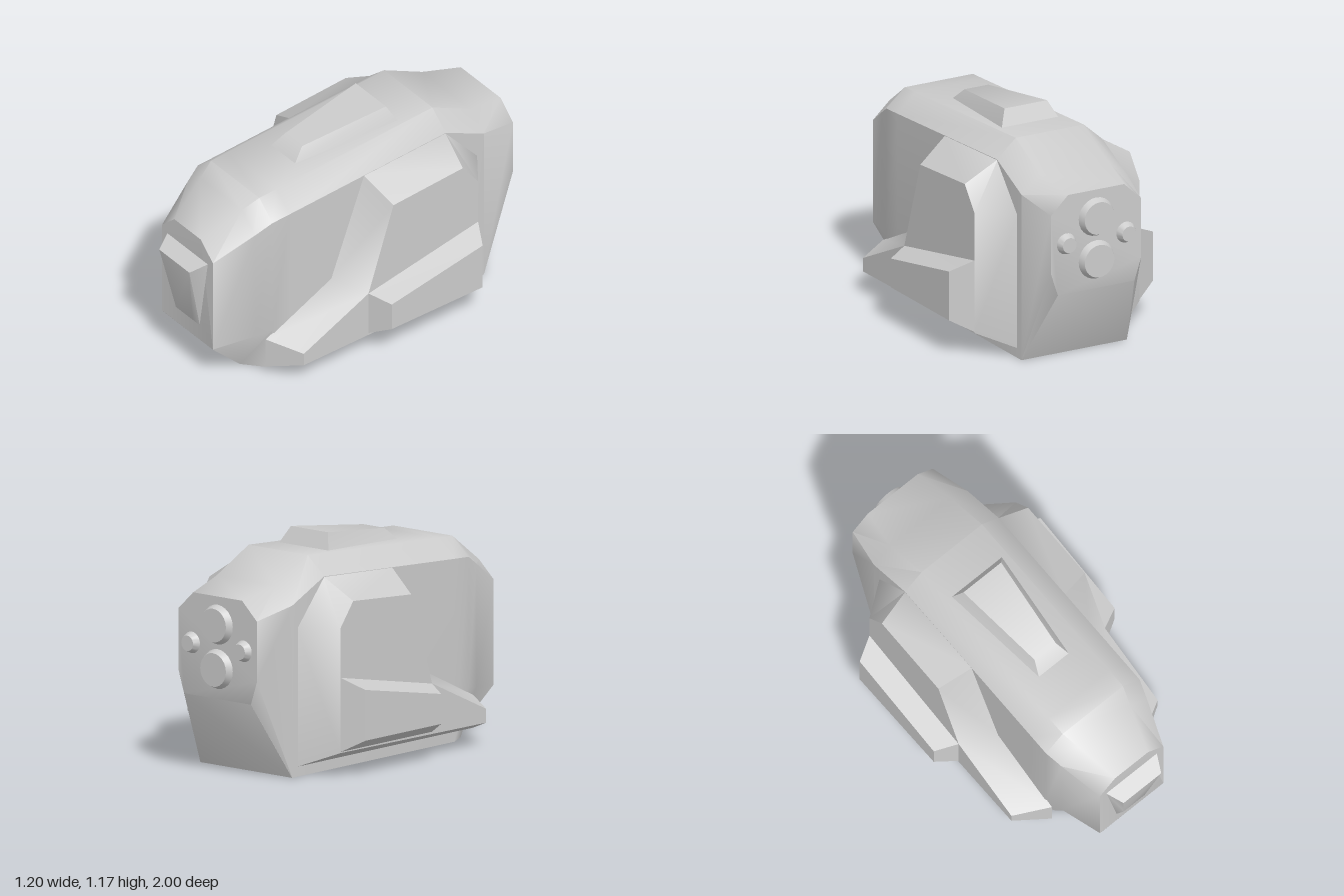
import * as THREE from 'three';
import { toCreasedNormals } from 'three/addons/utils/BufferGeometryUtils.js';

const material = new THREE.MeshStandardMaterial({ color: 0xcccccc, side: THREE.DoubleSide });

// Closed solid through rings of [x, y, z]; caps are triangulated with one axis dropped.
function loft(rings, dropAxis) {
  const n = rings[0].length;
  const pts = rings.flat();
  const faces = [];
  for (let r = 0; r < rings.length - 1; r++) {
    for (let i = 0; i < n; i++) {
      const j = (i + 1) % n;
      const a = r * n + i, b = r * n + j, c = a + n, d = b + n;
      faces.push([a, b, d], [a, d, c]);
    }
  }
  const flat = (ring) => ring.map((p) => new THREE.Vector2(...p.filter((_, k) => k !== dropAxis)));
  const area = (ring) => Math.sign(THREE.ShapeUtils.area(flat(ring)));
  const cap = (ring, offset, reverse) => {
    for (const t of THREE.ShapeUtils.triangulateShape(flat(ring), [])) {
      // keep each cap triangle in the direction of its ring
      const same = area(t.map((k) => ring[k])) === area(ring);
      const [a, b, c] = t.map((k) => k + offset);
      faces.push(same !== reverse ? [a, b, c] : [a, c, b]);
    }
  };
  cap(rings[0], 0, true);
  cap(rings[rings.length - 1], (rings.length - 1) * n, false);

  // signed volume decides which way the solid faces
  const v = pts.map((p) => new THREE.Vector3(...p));
  let volume = 0;
  for (const [a, b, c] of faces) volume += v[a].dot(v[b].clone().cross(v[c]));
  const index = faces.flatMap(([a, b, c]) => (volume < 0 ? [a, c, b] : [a, b, c]));

  const geometry = new THREE.BufferGeometry();
  geometry.setAttribute('position', new THREE.Float32BufferAttribute(pts.flat(), 3));
  geometry.setIndex(index);
  return toCreasedNormals(geometry, 0.8);
}

function add(parent, name, geometry) {
  const mesh = new THREE.Mesh(geometry, material);
  mesh.name = name;
  parent.add(mesh);
  return mesh;
}

// Side plate: base outline at x0 bevelled to outer outline at x1, points are [z, y]
function sidePlate(base, outer, x0, x1, side) {
  const ring = (outline, x) => outline.map(([z, y]) => [side * x, y, z]);
  return loft([ring(base, x0), ring(outer, x1)], 0);
}

export function createModel() {
  const model = new THREE.Group();
  model.name = 'pod';

  // Hull stations: z, bottom y, bottom half width, lower side y, half width, upper side y, top half width, top y
  const stations = [
    [0.915, 0.22, 0.21, 0.222, 0.21, 0.765, 0.11, 0.857],
    [0.70, 0, 0.155, 0.25, 0.283, 0.888, 0.173, 0.982],
    [0.61, 0, 0.255, 0.265, 0.31, 0.94, 0.2, 1.035],
    [0.50, 0, 0.31, 0.002, 0.31, 0.946, 0.2, 1.041],
    [-0.50, 0, 0.31, 0.002, 0.31, 1.005, 0.2, 1.102],
    [-0.745, 0, 0.31, 0.002, 0.31, 0.89, 0.2, 0.98],
    [-0.965, 0.40, 0.225, 0.52, 0.265, 0.835, 0.165, 0.93],
  ];
  const hullRings = stations.map(([z, by, bw, ly, w, sy, tw, ty]) => {
    const half = [[bw, by, z], [w, ly, z], [w, sy, z], [tw, ty, z]];
    return [...half, ...half.slice().reverse().map(([x, y]) => [-x, y, z])];
  });
  add(model, 'hull', loft(hullRings, 2));

  // Side fenders with a raised foot block on each
  const fenderBase = [[0.65, 0.05], [0.65, 0.22], [0.235, 0.42], [0.025, 0.975], [-0.5, 1.005], [-0.705, 0.77], [-0.705, 0.05]];
  const fenderOuter = [[0.545, 0.115], [0.545, 0.187], [0.13, 0.38], [-0.03, 0.865], [-0.475, 0.897], [-0.573, 0.77], [-0.573, 0.125]];
  const footBase = [[0.13, 0.13], [0.13, 0.38], [-0.573, 0.515], [-0.573, 0.13]];
  const footOuter = [[0.07, 0.195], [0.07, 0.35], [-0.513, 0.458], [-0.513, 0.195]];
  for (const [label, side] of [['left', 1], ['right', -1]]) {
    add(model, label + 'Fender', sidePlate(fenderBase, fenderOuter, 0.305, 0.485, side));
    add(model, label + 'FootBlock', sidePlate(footBase, footOuter, 0.484, 0.6, side));
  }

  // Tapered block on the roof
  add(model, 'roofBlock', loft([
    [[-0.1, 1.05, 0.305], [0.1, 1.05, 0.305], [0.168, 1.085, -0.305], [-0.168, 1.085, -0.305]],
    [[-0.07, 1.115, 0.235], [0.07, 1.115, 0.235], [0.125, 1.173, -0.26], [-0.125, 1.173, -0.26]],
  ], 1));

  // Wedge panel on the nose
  add(model, 'nosePanel', loft([
    [[-0.1, 0.31, 0.914], [0.1, 0.31, 0.914], [0.168, 0.735, 0.914], [-0.168, 0.735, 0.914]],
    [[-0.07, 0.335, 0.935], [0.07, 0.335, 0.935], [0.125, 0.695, 1.0], [-0.125, 0.695, 1.0]],
  ], 2));

  // Thruster nozzles at the rear
  const nozzles = [[0, 0.785, 0.105], [0, 0.555, 0.105], [0.175, 0.67, 0.058], [-0.175, 0.67, 0.058]];
  nozzles.forEach(([x, y, r], i) => {
    const geometry = new THREE.CylinderGeometry(r, r - 0.018, 0.04, 24).rotateX(Math.PI / 2);
    add(model, 'thruster' + (i + 1), toCreasedNormals(geometry, 0.6)).position.set(x, y, -0.98);
  });

  return model;
}
